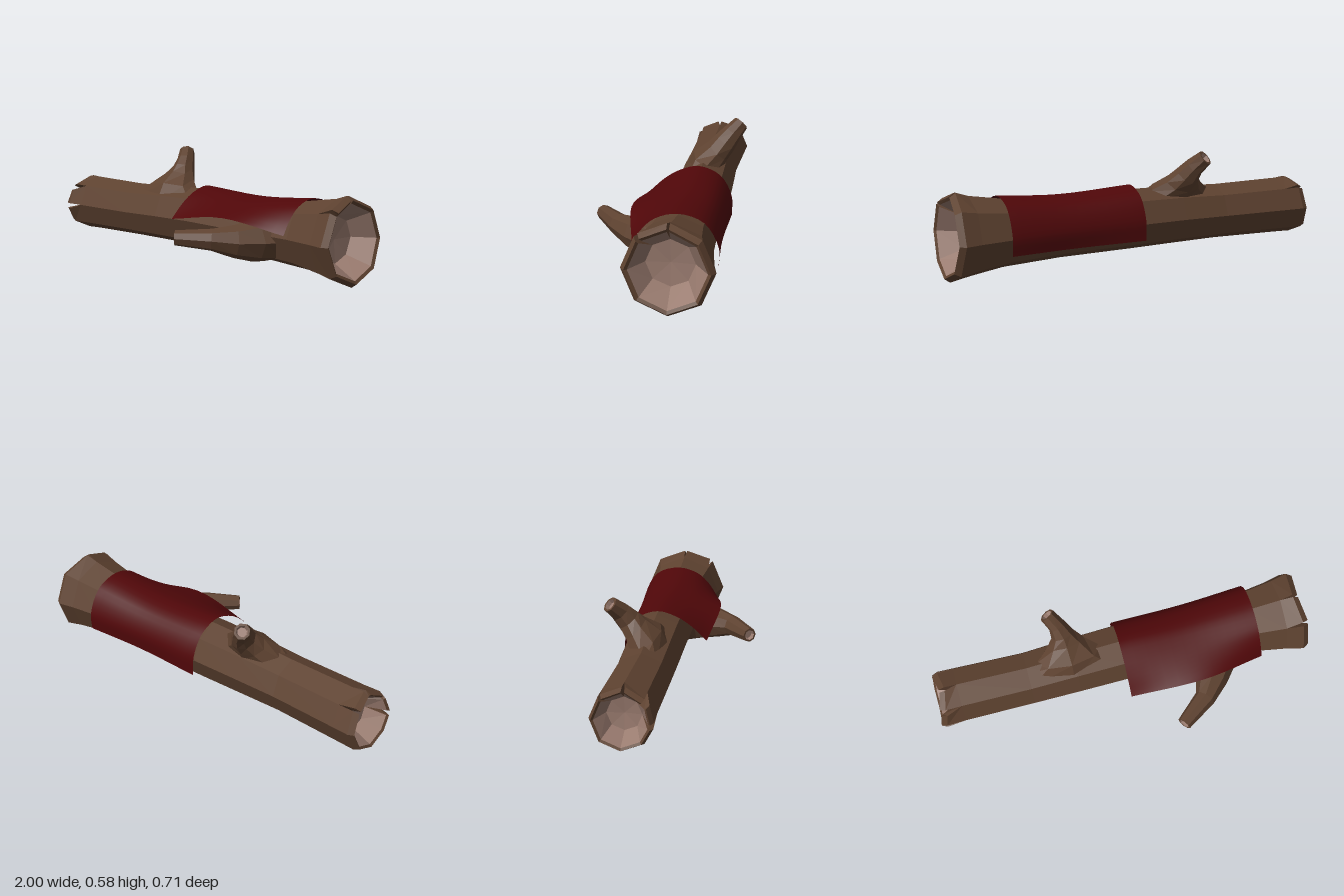
import * as THREE from 'three';

const SIDES = 8;
const V = (x, y, z) => new THREE.Vector3(x, y, z);

const bark = new THREE.MeshStandardMaterial({ color: 0x5e4230, flatShading: true, side: THREE.DoubleSide });
const heartwood = new THREE.MeshStandardMaterial({ color: 0x987a6e, flatShading: true, side: THREE.DoubleSide });
const fabric = new THREE.MeshStandardMaterial({ color: 0x500709, side: THREE.DoubleSide });

// Collects quads and triangles into one faceted mesh
class Faces {
  constructor() { this.data = []; }
  tri(a, b, c) { for (const p of [a, b, c]) this.data.push(p.x, p.y, p.z); }
  quad(a, b, c, d, flip = false) {
    if (flip) [b, d] = [d, b];
    this.tri(a, b, c);
    this.tri(a, c, d);
  }
  loft(rings) {
    for (let i = 0; i + 1 < rings.length; i++) {
      const p = rings[i], q = rings[i + 1], n = p.length;
      for (let j = 0; j < n; j++) this.quad(p[j], p[(j + 1) % n], q[(j + 1) % n], q[j]);
    }
  }
  fan(ring, centre, flip = false) {
    ring.forEach((p, j) => {
      const q = ring[(j + 1) % ring.length];
      if (flip) this.tri(centre, q, p); else this.tri(centre, p, q);
    });
  }
  mesh(name, material) {
    const g = new THREE.BufferGeometry();
    g.setAttribute('position', new THREE.Float32BufferAttribute(this.data, 3));
    g.computeVertexNormals();
    const m = new THREE.Mesh(g, material);
    m.name = name;
    return m;
  }
}

// Point on the log, with the angle measured from the top towards the front
const logPoint = ([x, r, y, z], a) => V(x, y + r * Math.cos(a), z + r * Math.sin(a));
const logRing = (s) => Array.from({ length: SIDES }, (_, j) => logPoint(s, j * Math.PI * 2 / SIDES));

// Rim section of a stave: radius factor, distance back from its tip
const LIP = [[1, 0.03], [0.91, 0], [0.84, 0.01]];

// Broken hollow end: one thick stave per side, each narrowed at its tip by
// the angle in starts[j] on one edge and ends[j] on the other
function brokenEnd(name, o) {
  const wood = new Faces(), inside = new Faces(), step = Math.PI * 2 / SIDES;
  const [r, y, z] = o.rim, flip = o.floor[0] < 0, out = Math.sign(o.floor[0]);
  const base = logRing(o.base), floor = logRing(o.floor);
  const edge = (j, a) => LIP.map(([f, back]) => logPoint([o.rimX[j] - out * back, r * f, y, z], a));
  for (let j = 0; j < SIDES; j++) {
    const k = (j + 1) % SIDES;
    const A = edge(j, j * step + o.starts[j]), B = edge(k, (j + 1) * step - o.ends[j]);
    wood.quad(base[j], base[k], B[0], A[0], flip);
    wood.quad(A[0], B[0], B[1], A[1], flip);
    wood.quad(A[1], B[1], B[2], A[2], flip);
    inside.quad(A[2], B[2], floor[k], floor[j], flip);
    // Torn sides of a split stave
    if (o.starts[j] || o.ends[(j + SIDES - 1) % SIDES]) {
      wood.quad(base[j], A[0], A[2], floor[j], flip);
      wood.quad(A[0], A[1], A[2], A[2], flip);
    }
    if (o.ends[j] || o.starts[k]) {
      wood.quad(base[k], floor[k], B[2], B[0], flip);
      wood.quad(B[0], B[2], B[1], B[1], flip);
    }
  }
  const [fx, , fy, fz] = o.floor;
  inside.fan(floor, V(fx - out * 0.01, fy, fz), flip);
  const group = new THREE.Group();
  group.name = name;
  group.add(wood.mesh(name + 'Staves', bark), inside.mesh(name + 'Hollow', heartwood));
  return group;
}

// Tapered branch stub: stations of centre and two radii, with a recessed pale tip
function branch(name, stations, ref) {
  const wood = new Faces(), tip = new Faces(), last = stations.length - 1;
  const path = stations.map(([x, y, z]) => V(x, y, z));
  const ringAt = (c, t, ru, rv) => {
    const u = ref.clone().addScaledVector(t, -ref.dot(t)).normalize();
    const v = t.clone().cross(u);
    return Array.from({ length: SIDES }, (_, j) => {
      const a = j * Math.PI * 2 / SIDES;
      return c.clone().addScaledVector(u, ru * Math.cos(a)).addScaledVector(v, rv * Math.sin(a));
    });
  };
  const tangent = (i) => path[Math.min(i + 1, last)].clone().sub(path[Math.max(i - 1, 0)]).normalize();
  const rings = path.map((c, i) => ringAt(c, tangent(i), stations[i][3], stations[i][4]));
  const t = tangent(last), end = path[last], inner = end.clone().addScaledVector(t, -0.02);
  const r = stations[last][3];
  const lip = ringAt(end, t, r * 0.75, r * 0.75), cup = ringAt(inner, t, r * 0.6, r * 0.6);
  wood.loft([...rings, lip]);
  tip.loft([lip, cup]);
  tip.fan(cup, inner);
  const group = new THREE.Group();
  group.name = name;
  group.add(wood.mesh(name + 'Bark', bark), tip.mesh(name + 'Tip', heartwood));
  return group;
}

// Draped cloth: back-to-front profiles blended along the log
function cloth() {
  const curves = [
    [-0.005, [[-0.315, 0.145], [-0.31, 0.25], [-0.25, 0.355], [-0.14, 0.4], [-0.04, 0.375], [0.04, 0.325], [0.12, 0.25]]],
    [0.38, [[-0.31, 0.145], [-0.315, 0.24], [-0.255, 0.345], [-0.14, 0.382], [-0.04, 0.365], [0.05, 0.335], [0.145, 0.3]]],
    [0.72, [[-0.333, 0.145], [-0.335, 0.24], [-0.265, 0.365], [-0.14, 0.405], [-0.03, 0.375], [0.035, 0.315], [0.08, 0.245]]],
  ].map(([x, pts]) => new THREE.CatmullRomCurve3(pts.map(([z, y]) => V(x, y, z))));
  const cols = 12, rows = 24;
  const g = new THREE.PlaneGeometry(1, 1, cols, rows);
  for (let i = 0; i <= rows; i++) {
    const across = new THREE.CatmullRomCurve3(curves.map((c) => c.getPoint(i / rows)));
    for (let j = 0; j <= cols; j++) {
      const p = across.getPoint(j / cols);
      g.attributes.position.setXYZ(i * (cols + 1) + j, p.x, p.y, p.z);
    }
  }
  g.computeVertexNormals();
  const m = new THREE.Mesh(g, fabric);
  m.name = 'drapedCloth';
  return m;
}

export function createModel() {
  const model = new THREE.Group();
  model.name = 'log';

  // Trunk stations: x, radius, centre y, centre z
  const stations = [
    [-0.87, 0.15, 0.219, -0.142],
    [-0.5, 0.145, 0.219, -0.135],
    [-0.25, 0.152, 0.224, -0.14],
    [0, 0.156, 0.225, -0.145],
    [0.4, 0.153, 0.217, -0.142],
    [0.7, 0.172, 0.219, -0.136],
    [0.87, 0.2, 0.219, -0.133],
  ];
  const trunk = new Faces();
  trunk.loft(stations.map(logRing));
  model.add(trunk.mesh('trunk', bark));

  model.add(brokenEnd('rightEnd', {
    base: stations[0],
    rim: [0.153, 0.219, -0.142],
    floor: [-0.89, 0.085, 0.22, -0.142],
    rimX: [-0.965, -0.985, -1, -1, -1, -1, -0.99, -0.985],
    starts: [0.12, 0.24, 0.2, 0, 0, 0, 0, 0.1],
    ends: [0, 0, 0, 0, 0, 0, 0, 0],
  }));
  model.add(brokenEnd('leftEnd', {
    base: stations[6],
    rim: [0.221, 0.219, -0.132],
    floor: [0.87, 0.118, 0.22, -0.13],
    rimX: [0.965, 0.985, 0.985, 0.99, 1, 0.995, 0.985, 0.985],
    starts: [0.03, 0, 0, 0, 0, 0, 0, 0],
    ends: [0.1, 0, 0, 0, 0, 0, 0, 0.03],
  }));

  model.add(branch('frontBranch', [
    [0.475, 0.19, -0.05, 0.12, 0.18],
    [0.47, 0.187, 0.03, 0.108, 0.125],
    [0.435, 0.188, 0.12, 0.083, 0.083],
    [0.37, 0.2, 0.213, 0.055, 0.055],
    [0.225, 0.205, 0.322, 0.038, 0.038],
  ], V(0, 1, 0)));
  model.add(branch('upperBranch', [
    [-0.27, 0.27, -0.14, 0.32, 0.12],
    [-0.27, 0.355, -0.155, 0.175, 0.09],
    [-0.275, 0.405, -0.205, 0.1, 0.07],
    [-0.28, 0.45, -0.24, 0.06, 0.064],
    [-0.298, 0.495, -0.275, 0.045, 0.054],
    [-0.335, 0.545, -0.32, 0.04, 0.042],
  ], V(1, 0, 0)));

  model.add(cloth());
  return model;
}
